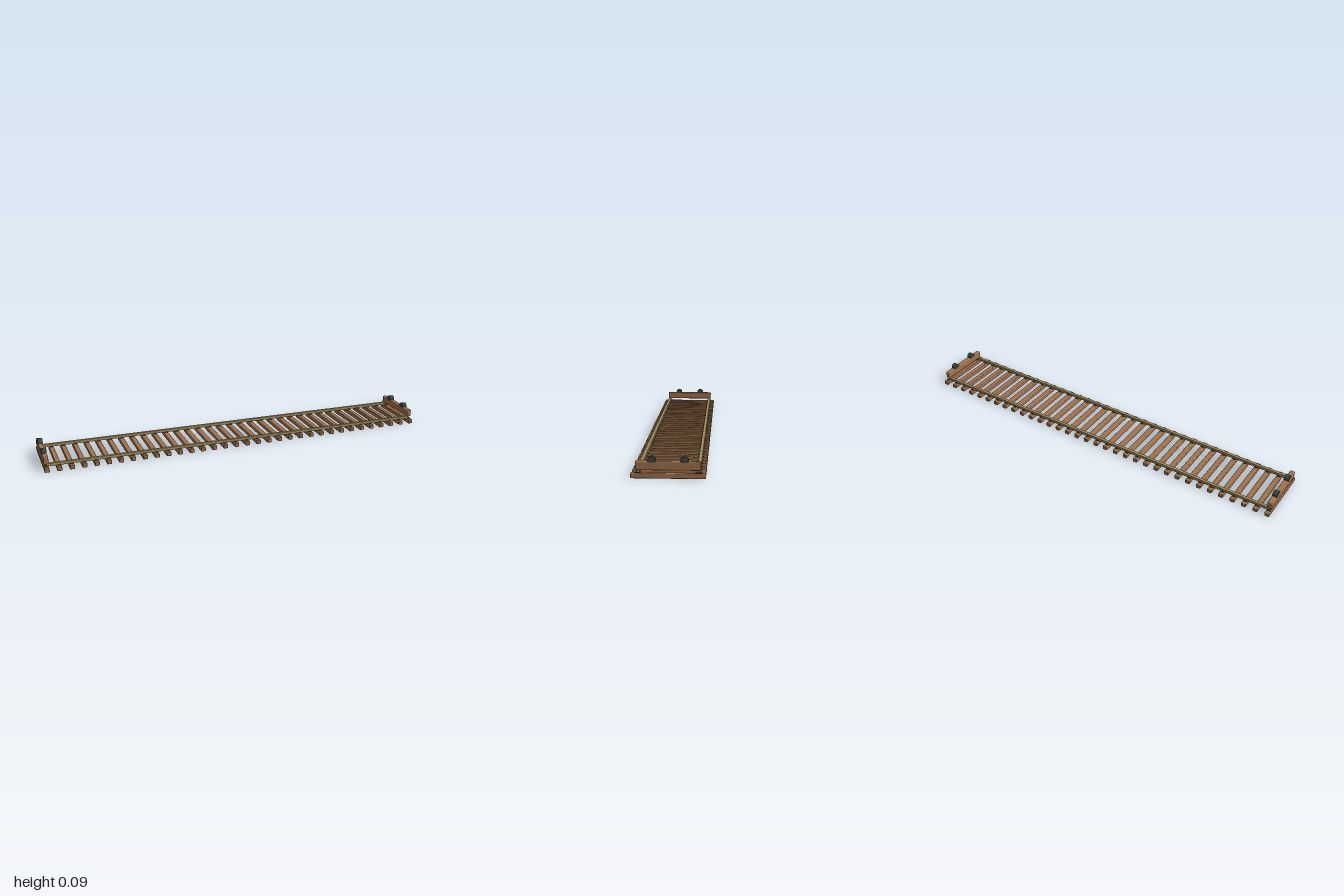
import * as THREE from 'three';
import { RoundedBoxGeometry } from 'three/addons/geometries/RoundedBoxGeometry.js';

const material = (name, color) => {
  const m = new THREE.MeshStandardMaterial({ color });
  m.name = name;
  return m;
};

export function createModel() {
  const wood = material('brown wood', 0xa0734e);
  const brass = material('rail metal', 0xa58f60);
  const dark = material('dark metal', 0x3f4742);

  const model = new THREE.Group();
  model.name = 'railwayTrack';
  const add = (name, geometry, mat, x, y, z) => {
    const mesh = new THREE.Mesh(geometry, mat);
    mesh.name = name;
    mesh.position.set(x, y, z);
    model.add(mesh);
  };

  const count = 34, end = 0.988, gauge = 0.125;

  // Sleepers, evenly spaced, each with a plate under either rail
  const sleeper = new RoundedBoxGeometry(0.024, 0.022, 0.31, 2, 0.004);
  const plate = new THREE.BoxGeometry(0.016, 0.004, 0.025);
  for (let i = 0; i < count; i++) {
    const x = -end + (2 * end * i) / (count - 1);
    add('sleeper', sleeper, wood, x, 0.011, 0);
    for (const side of [-1, 1]) add('railPlate', plate, dark, x, 0.0235, side * gauge);
  }

  // Rails
  const rail = new THREE.BoxGeometry(2 * end, 0.014, 0.0145);
  for (const side of [-1, 1]) add(side > 0 ? 'frontRail' : 'backRail', rail, brass, 0, 0.03, side * gauge);

  // End stops: a beam across the rails with two round bumpers set into it
  const beam = new RoundedBoxGeometry(0.024, 0.038, 0.27, 4, 0.005);
  const bumper = new THREE.CylinderGeometry(0.0175, 0.0175, 0.0238, 24).rotateZ(Math.PI / 2);
  for (const side of [-1, 1]) {
    add('stopBeam', beam, wood, side * end, 0.0535, 0);
    for (const z of [-0.067, 0.067]) add('bumper', bumper, dark, side * end, 0.0755, z);
  }
  return model;
}
